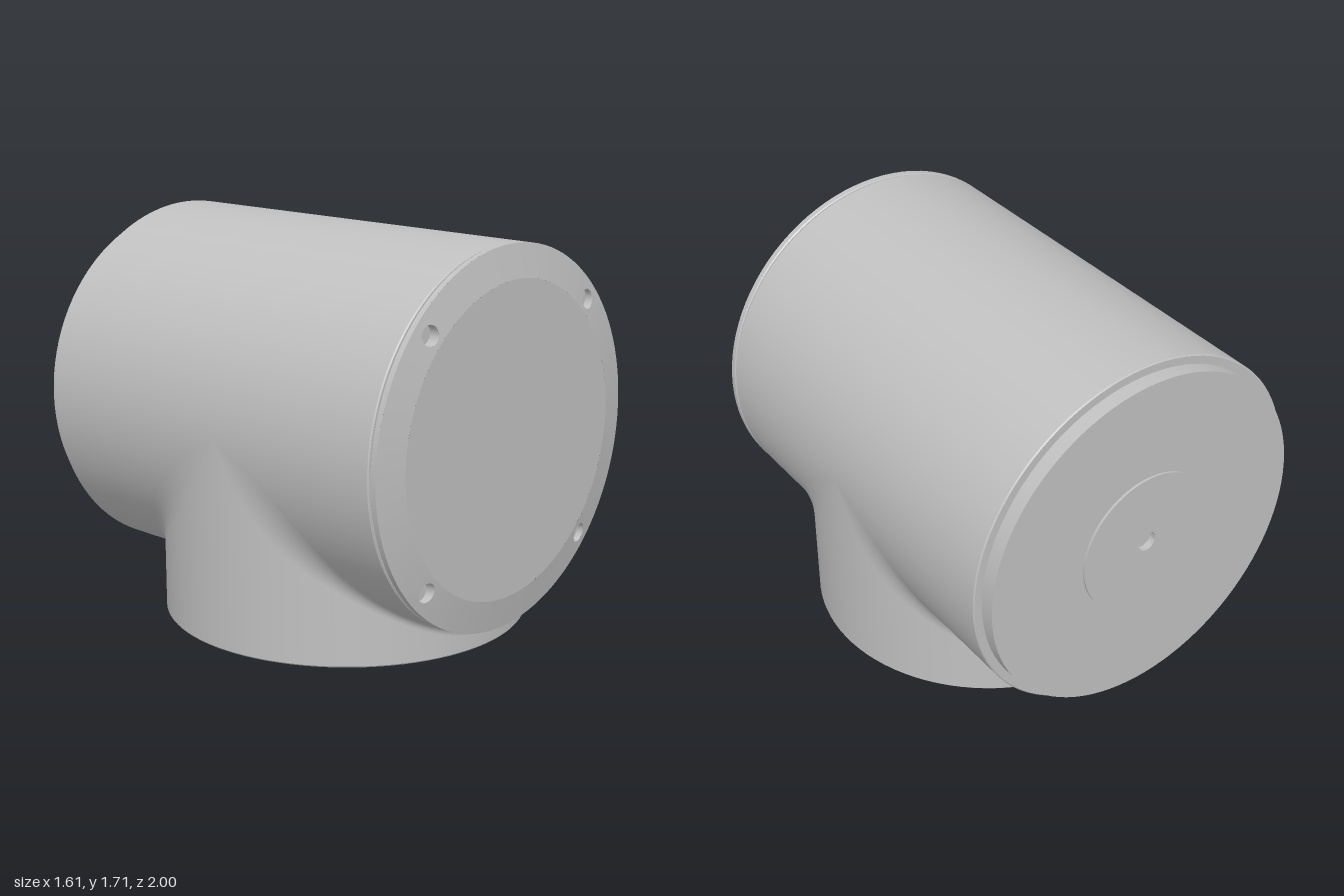
import * as THREE from 'three';
import { toCreasedNormals } from 'three/addons/utils/BufferGeometryUtils.js';

const R = 0.805;      // radius of both pipes
const CY = 0.905;     // height of the horizontal axis
const CZ = 0.09;      // depth of the vertical axis
const SEG = 96;
const FACE_R = 0.665; // flat part of the front cover
const EDGE_Z = 0.972; // where the cover's chamfer begins

// Height of the cover's chamfer at a given radius
const chamferZ = (r) => THREE.MathUtils.mapLinear(r, FACE_R, R, 1, EDGE_Z);

function lathe(profile, segments = SEG, start = 0, length = Math.PI * 2) {
  const pts = profile.map(([r, h]) => new THREE.Vector2(r, h));
  return toCreasedNormals(new THREE.LatheGeometry(pts, segments, start, length), 0.4);
}

// Turned about the horizontal z axis
const turned = (...args) => lathe(...args).rotateX(Math.PI / 2);

// Blend strip along the joint of the two pipes; side is +1 (front) or -1 (back)
function filletGeometry(side) {
  const along = 80, across = 8, pos = [], index = [];
  for (let i = 0; i <= along; i++) {
    const t = (i / along - 0.5) * Math.PI;
    const s = Math.sin(t), c = Math.cos(t);
    const r = 0.035 + 0.8 * Math.pow(1 - c, 2.5);
    const centre = new THREE.Vector3((R + r) * s, CY - (R + r) * c, CZ + side * (R + r) * c);
    const toBody = new THREE.Vector3(-s, c, 0);
    const toNeck = new THREE.Vector3(-s, 0, -side * c);
    for (let j = 0; j <= across; j++) {
      const angle = toBody.angleTo(toNeck), k = j / across;
      const d = angle < 1e-4 ? toBody.clone() : toBody.clone()
        .multiplyScalar(Math.sin((1 - k) * angle) / Math.sin(angle))
        .addScaledVector(toNeck, Math.sin(k * angle) / Math.sin(angle));
      const p = centre.clone().addScaledVector(d, r);
      pos.push(p.x, p.y, p.z);
    }
  }
  const w = across + 1;
  for (let i = 0; i < along; i++) {
    for (let j = 0; j < across; j++) {
      const a = i * w + j, b = a + 1, c = a + w, d = c + 1;
      if (side > 0) index.push(a, b, c, b, d, c);
      else index.push(a, c, b, b, c, d);
    }
  }
  const g = new THREE.BufferGeometry();
  g.setAttribute('position', new THREE.Float32BufferAttribute(pos, 3));
  g.setIndex(index);
  g.computeVertexNormals();
  return g;
}

// Small sector of the chamfer with a screw hole through it
function holedSector(angle, half, hx, hy, hr) {
  const shape = new THREE.Shape();
  shape.absarc(0, 0, R, angle - half, angle + half, false);
  shape.absarc(0, 0, FACE_R, angle + half, angle - half, true);
  const hole = new THREE.Path();
  hole.absarc(hx, hy, hr, 0, Math.PI * 2, true);
  shape.holes.push(hole);
  const g = new THREE.ShapeGeometry(shape, 24);
  const p = g.attributes.position;
  for (let i = 0; i < p.count; i++) p.setZ(i, chamferZ(Math.hypot(p.getX(i), p.getY(i))));
  g.computeVertexNormals();
  return g;
}

export function createModel() {
  const model = new THREE.Group();
  model.name = 'teeHousing';
  const grey = new THREE.MeshStandardMaterial({ color: 0xc0c0c0 });
  grey.name = 'grey';
  const add = (name, geometry, parent = model) => {
    const mesh = new THREE.Mesh(geometry, grey);
    mesh.name = name;
    parent.add(mesh);
    return mesh;
  };

  // Everything turned about the horizontal axis
  const barrel = new THREE.Group();
  barrel.name = 'barrel';
  barrel.position.y = CY;
  model.add(barrel);

  add('barrelBody', turned([
    [0.74, -0.925], [0.8, -0.925], [R, -0.92], [R, 0.93], [0.8, 0.935], [0.79, 0.935],
  ]), barrel);
  add('backPlate', turned([[0.32, -0.99], [0.765, -0.99], [0.765, -0.92]]), barrel);
  add('backHub', turned([
    [0, -0.97], [0.045, -0.97], [0.045, -1], [0.32, -1], [0.32, -0.99],
  ]), barrel);

  // Front cover with chamfer and four screw holes
  add('coverRim', turned([
    [0.79, 0.93], [0.79, 0.942], [0.8, 0.942], [R, 0.947], [R, EDGE_Z],
  ]), barrel);
  const face = new THREE.CircleGeometry(FACE_R, SEG);
  add('coverFace', face.translate(0, 0, 1), barrel);

  const half = THREE.MathUtils.degToRad(6), hr = 0.042;
  for (let i = 0; i < 4; i++) {
    const angle = Math.PI / 4 + i * Math.PI / 2;
    const hx = 0.727 * Math.cos(angle), hy = 0.727 * Math.sin(angle);
    add('coverChamfer', turned([[R, EDGE_Z], [FACE_R, 1]], 24,
      angle + half + Math.PI / 2, Math.PI / 2 - 2 * half), barrel);
    add('holedChamfer', holedSector(angle, half, hx, hy, hr), barrel);

    // Hole wall trimmed to the chamfer
    const well = turned([[hr, 0.99], [hr, 0.95], [0, 0.95]], 24).translate(hx, hy, 0);
    const p = well.attributes.position;
    for (let k = 0; k < p.count; k++) {
      if (p.getZ(k) > 0.96) p.setZ(k, chamferZ(Math.hypot(p.getX(k), p.getY(k))));
    }
    add('screwHole', well, barrel);
  }

  // Vertical neck with a recessed underside
  const neck = add('neck', lathe([
    [0, 0.06], [0.775, 0.06], [0.775, 0], [0.8, 0], [R, 0.006], [R, CY],
  ]));
  neck.position.z = CZ;

  // Blends between neck and barrel
  add('frontFillet', filletGeometry(1));
  add('backFillet', filletGeometry(-1));
  return model;
}
